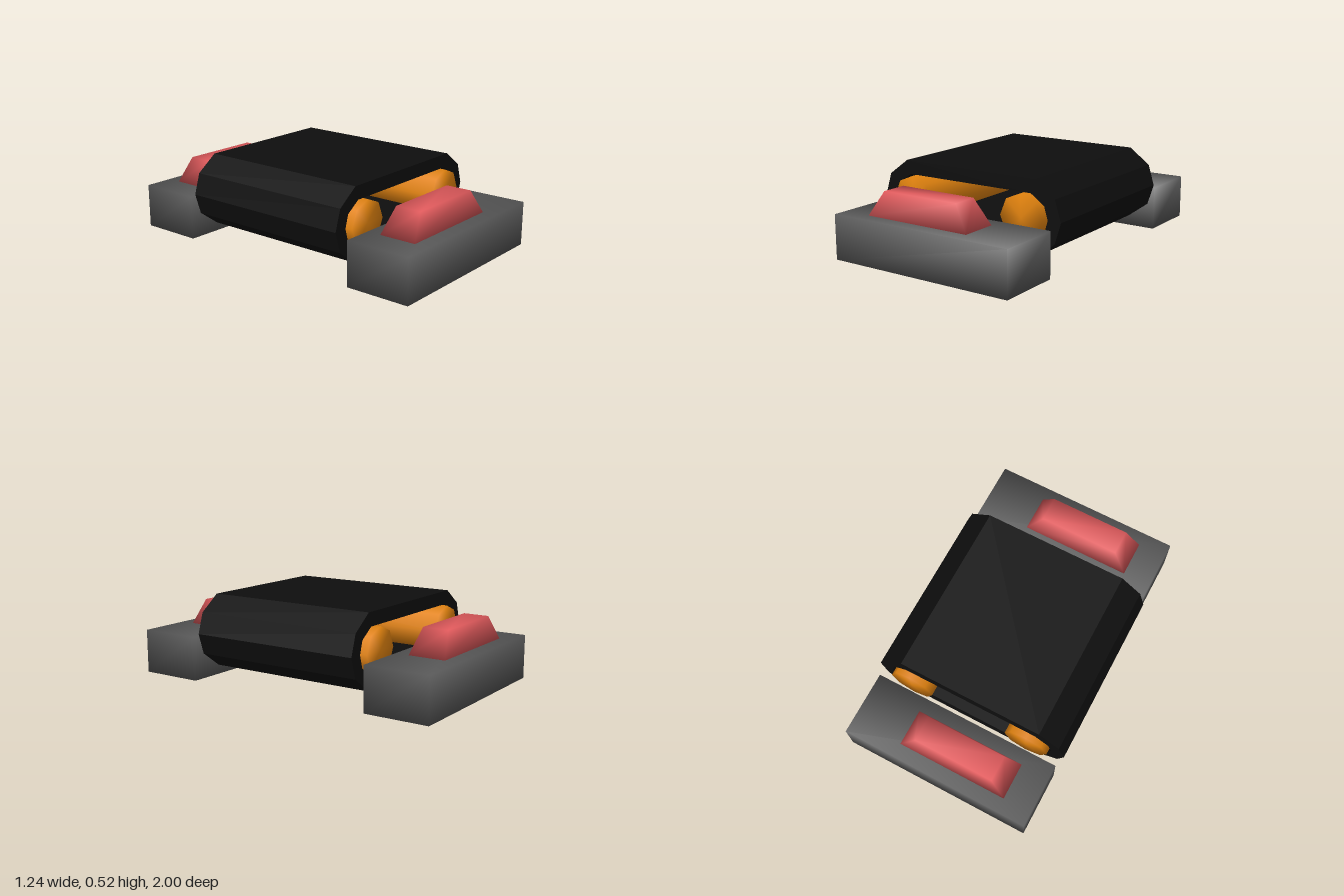
import * as THREE from 'three';
import { mergeVertices } from 'three/addons/utils/BufferGeometryUtils.js';

const paint = (name, color) => {
  const m = new THREE.MeshStandardMaterial({ color });
  m.name = name;
  return m;
};

// Weld corners so that shading rolls softly over the edges
function soften(geometry) {
  geometry.deleteAttribute('normal');
  geometry.deleteAttribute('uv');
  const welded = mergeVertices(geometry, 1e-4);
  welded.computeVertexNormals();
  return welded;
}

// Octagonal-ended loop, given as its upper left quarter from the top to the side
function loopPoints(quarter, midY) {
  const [top, shoulder, side] = quarter;
  const flipX = ([x, y]) => [-x, y];
  const flipY = ([x, y]) => [x, 2 * midY - y];
  return [
    top, shoulder, side, flipY(shoulder), flipY(top),
    flipX(flipY(top)), flipX(flipY(shoulder)), flipX(side), flipX(shoulder), flipX(top),
  ].map(([x, y]) => new THREE.Vector2(x, y));
}

export function createModel() {
  const model = new THREE.Group();
  model.name = 'conveyor';
  const beltBlack = paint('belt black', 0x0e0e0e);
  const frameGrey = paint('frame grey', 0x585858);
  const lampRed = paint('housing red', 0xe05a5c);
  const rollerOrange = paint('roller orange', 0xe0820f);

  const add = (name, geometry, material, x, y, z) => {
    const mesh = new THREE.Mesh(geometry, material);
    mesh.name = name;
    mesh.position.set(x, y, z);
    model.add(mesh);
  };

  // Belt: a hollow loop running around the rollers
  const midY = 0.3;
  const outline = new THREE.Shape(loopPoints([[-0.45, 0.52], [-0.58, 0.425], [-0.619, midY]], midY));
  outline.holes.push(new THREE.Path(loopPoints([[-0.425, 0.438], [-0.512, 0.378], [-0.535, midY]], midY)));
  const belt = new THREE.ExtrudeGeometry(outline, { depth: 1.084, bevelEnabled: false });
  add('belt', belt, beltBlack, 0, 0, -0.542);

  // Eight-sided rollers, poking out of both ends of the belt
  const roller = soften(new THREE.CylinderGeometry(0.138, 0.138, 1.15, 8).rotateX(Math.PI / 2));
  for (const side of [-1, 1]) add(side < 0 ? 'rightRoller' : 'leftRoller', roller, rollerOrange, side * 0.383, midY, 0);

  // End blocks, each with a tapered housing set off to one side
  const block = soften(new THREE.BoxGeometry(1.19, 0.268, 0.397));
  const taper = new THREE.BoxGeometry(0.69, 0.148, 0.225);
  const pos = taper.attributes.position;
  for (let i = 0; i < pos.count; i++) {
    if (pos.getY(i) > 0) {
      pos.setX(i, pos.getX(i) * 0.725);
      pos.setZ(i, pos.getZ(i) * 0.7);
    }
  }
  const housing = soften(taper);
  for (const end of [-1, 1]) {
    const label = end > 0 ? 'front' : 'back';
    add(label + 'Block', block, frameGrey, -0.002, 0.134, end * 0.8015);
    add(label + 'Housing', housing, lampRed, -0.075, 0.341, end * 0.801);
  }
  return model;
}
